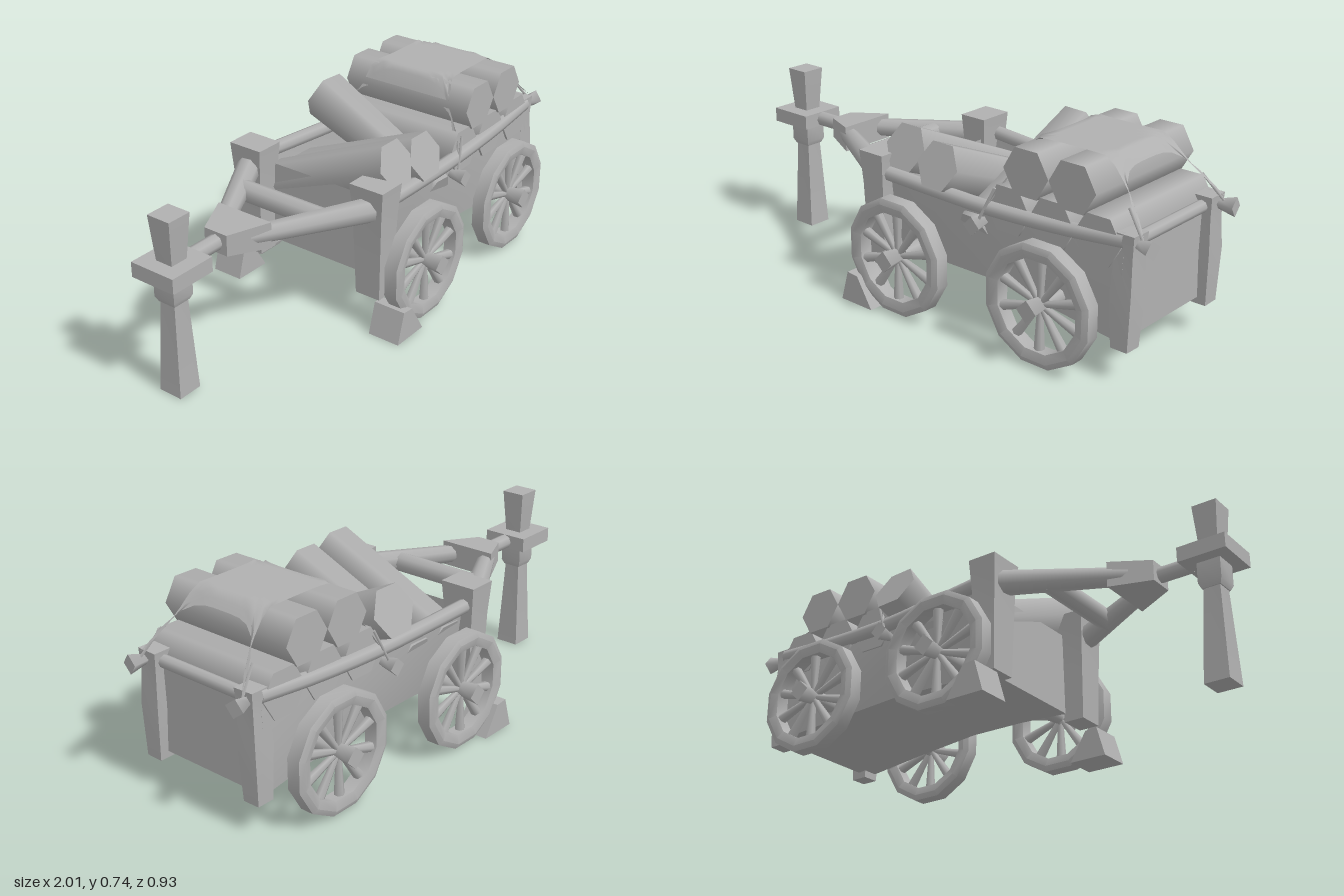
import * as THREE from 'three';
import { toCreasedNormals } from 'three/addons/utils/BufferGeometryUtils.js';

export function createModel() {
  const model = new THREE.Group();
  const grey = new THREE.MeshStandardMaterial({ color: 0xb0b0b0, side: THREE.DoubleSide });
  grey.name = 'plain grey';
  const V = (x, y, z) => new THREE.Vector3(x, y, z);

  const add = (name, geometry, parent = model) => {
    const mesh = new THREE.Mesh(geometry, grey);
    mesh.name = name;
    parent.add(mesh);
    return mesh;
  };
  // Tapered round bar between two points
  const bar = (name, a, b, ra, rb, sides = 8, parent = model) => {
    const m = add(name, new THREE.CylinderGeometry(rb, ra, a.distanceTo(b), sides), parent);
    m.position.copy(a).lerp(b, 0.5);
    m.quaternion.setFromUnitVectors(V(0, 1, 0), b.clone().sub(a).normalize());
    return m;
  };
  // Square post from [half width, height] pairs, closed at both ends
  const post = (name, profile, x, z, depth = 1) => {
    const pts = profile.map(([w, y]) => new THREE.Vector2(w * Math.SQRT2, y));
    pts.unshift(new THREE.Vector2(0, profile[0][1]));
    pts.push(new THREE.Vector2(0, profile[profile.length - 1][1]));
    const g = new THREE.LatheGeometry(pts, 4, Math.PI / 4);
    g.scale(1, 1, depth);
    const m = add(name, toCreasedNormals(g, 0.5));
    m.position.set(x, 0, z);
    return m;
  };
  // Six-sided log lying along z
  const log = (name, x, y, z, length, tilt = 0, rFront = 0.097, rBack = rFront) => {
    const g = new THREE.CylinderGeometry(rFront, rBack, length, 6);
    g.rotateY(Math.PI / 6).rotateX(Math.PI / 2);
    const m = add(name, g);
    m.position.set(x, y, z);
    m.rotation.x = tilt;
    return m;
  };

  // Hitching post with collars
  post('hitchPost', [[0.048, 0], [0.032, 0.36], [0.034, 0.5], [0.036, 0.52], [0.048, 0.68]], -0.908, 0);
  post('hitchCollar', [[0.093, 0.453], [0.093, 0.51]], -0.907, 0);
  post('lowerCollar', [[0.036, 0.355], [0.045, 0.375], [0.045, 0.453]], -0.908, 0);

  // Draw pole and wedge-shaped yoke
  bar('drawPole', V(-0.83, 0.48, 0), V(-0.67, 0.48, 0), 0.03, 0.03);
  const yoke = new THREE.BoxGeometry(0.15, 0.1, 0.2);
  const yp = yoke.attributes.position;
  for (let i = 0; i < yp.count; i++) {
    const left = yp.getX(i) < 0;
    yp.setZ(i, Math.sign(yp.getZ(i)) * (left ? 0.05 : 0.12));
    if (left) yp.setY(i, yp.getY(i) * 0.8);
  }
  yoke.computeVertexNormals();
  add('yoke', yoke).position.set(-0.622, 0.48, 0);
  bar('shaftCrossbar', V(-0.35, 0.48, -0.21), V(-0.35, 0.48, 0.21), 0.04, 0.04);

  // Wheel ring profile, spun around the axle
  const ring = [[0.172, -0.026], [0.205, -0.036], [0.226, -0.026], [0.226, 0.026],
    [0.205, 0.036], [0.172, 0.026], [0.172, -0.026]].map(p => new THREE.Vector2(...p));
  const wheel = (name, x, z, side) => {
    const g = new THREE.Group();
    g.name = name;
    g.position.set(x, 0.228, z * side);
    if (side < 0) g.rotation.y = Math.PI;
    model.add(g);
    const tyre = new THREE.LatheGeometry(ring, 12, Math.PI / 12);
    add('rim', toCreasedNormals(tyre.rotateX(Math.PI / 2), 0.75), g);
    for (let i = 0; i < 10; i++) {
      const a = i / 10 * Math.PI * 2 + Math.PI / 2;
      const p = r => V(Math.cos(a) * r, Math.sin(a) * r, 0);
      bar('spoke', p(0.02), p(0.18), 0.011, 0.02, 6, g);
    }
    bar('hub', V(0, 0, -0.035), V(0, 0, 0.077), 0.026, 0.042, 4, g);
    bar('axle', V(0, 0, -0.14), V(0, 0, -0.02), 0.034, 0.028, 8, g);
  };

  // Parts mirrored on both sides
  for (const s of [1, -1]) {
    bar('shaft', V(-0.6, 0.48, 0.06 * s), V(-0.17, 0.485, 0.3 * s), 0.034, 0.048);
    post('frontPost', [[0.042, 0.13], [0.046, 0.3], [0.05, 0.45], [0.058, 0.575]], -0.167, 0.28 * s, 1.25);
    const rear = post('rearPost', [[0.034, 0.115], [0.042, 0.32], [0.036, 0.45], [0.041, 0.53]], 0.9, 0.24 * s);
    rear.rotation.x = -0.02 * s;

    wheel('frontWheel', 0, 0.388, s);
    wheel('rearWheel', 0.635, 0.355, s);

    // Rail along the top of the side wall
    const path = new THREE.CatmullRomCurve3([V(-0.17, 0.5, 0.31 * s), V(0.1, 0.485, 0.295 * s),
      V(0.35, 0.475, 0.28 * s), V(0.65, 0.485, 0.268 * s), V(0.9, 0.505, 0.255 * s)]);
    add('sideRail', new THREE.TubeGeometry(path, 10, 0.028, 8));

    // Wheel chock
    const wedge = new THREE.Shape([new THREE.Vector2(-0.245, 0), new THREE.Vector2(-0.09, 0),
      new THREE.Vector2(-0.16, 0.115), new THREE.Vector2(-0.21, 0.12)]);
    const chock = add('wheelChock', new THREE.ExtrudeGeometry(wedge, { depth: 0.13, bevelEnabled: false }));
    chock.position.z = s > 0 ? 0.315 : -0.445;

    // Pegs and ties that hold the cover
    bar('sidePeg', V(0.32, 0.42, 0.28 * s), V(0.32, 0.42, 0.35 * s), 0.018, 0.036, 4);
    bar('rearPeg', V(0.93, 0.495, 0.24 * s), V(1, 0.495, 0.25 * s), 0.016, 0.036, 4);
    bar('sideTie', V(0.32, 0.43, 0.315 * s), V(0.375, 0.56, 0.29 * s), 0.006, 0.006, 4);
    bar('rearTie', V(0.965, 0.5, 0.245 * s), V(0.88, 0.6, 0.215 * s), 0.006, 0.006, 4);
  }
  bar('rearRail', V(0.9, 0.49, -0.25), V(0.9, 0.49, 0.25), 0.024, 0.024);

  // Open cart body: [x, floor y, floor half width, top y, top half width]
  const stations = [[-0.13, 0.165, 0.23, 0.49, 0.3], [0.08, 0.18, 0.235, 0.48, 0.285], [0.32, 0.185, 0.24, 0.475, 0.27],
    [0.6, 0.165, 0.25, 0.48, 0.265], [0.9, 0.14, 0.265, 0.5, 0.265]];
  const section = ([, fy, fw, ty, tw]) => [[tw, ty], [(tw + fw) / 2 + 0.01, (ty + fy) / 2],
    [fw, fy], [-fw, fy], [-(tw + fw) / 2 - 0.01, (ty + fy) / 2], [-tw, ty]];
  const verts = [], faces = [];
  stations.forEach((st, i) => section(st).forEach(([z, y], j) => {
    verts.push(st[0], y, z);
    if (i && j) {
      const d = i * 6 + j, c = d - 1, b = d - 6, a = d - 7;
      faces.push(a, b, c, b, d, c);
    }
  }));
  const hull = new THREE.BufferGeometry();
  hull.setAttribute('position', new THREE.Float32BufferAttribute(verts, 3));
  hull.setIndex(faces);
  add('cartBody', toCreasedNormals(hull, 0.8));
  for (const [name, st] of [['frontPanel', stations[0]], ['rearPanel', stations[4]]]) {
    const shape = new THREE.Shape(section(st).map(([z, y]) => new THREE.Vector2(z, y)));
    const panel = add(name, new THREE.ShapeGeometry(shape));
    panel.rotation.y = Math.PI / 2;
    panel.position.x = st[0];
  }

  // Loose tilted logs at the front
  log('tiltedLog', -0.052, 0.49, 0.01, 0.6, -0.4, 0.095, 0.085);
  log('tiltedLog', 0.115, 0.468, 0.02, 0.6, -0.38, 0.095, 0.085);
  log('tiltedLog', 0.272, 0.49, -0.02, 0.62, 0.4, 0.068, 0.1).rotation.y = -0.05;

  // Stacked logs at the rear
  for (const x of [0.42, 0.61, 0.8]) log('lowerLog', x, 0.485, 0, 0.55);
  for (const x of [0.505, 0.7]) log('upperLog', x, 0.643, 0, 0.57);

  // Cover sheet pulled out to four corners
  const sheet = new THREE.PlaneGeometry(2, 2, 16, 12);
  const sp = sheet.attributes.position;
  for (let i = 0; i < sp.count; i++) {
    const u = sp.getX(i), v = sp.getY(i), pull = Math.abs(v) ** 4;
    const x = u < 0 ? 0.61 + u * (0.19 + 0.08 * pull) : 0.61 + u * (0.19 + 0.16 * pull);
    const z = v * (0.165 + (u < 0 ? 0.145 : 0.08) * Math.abs(u) ** 4);
    let y = 0.735;
    if (x < 0.45) y -= (0.45 - x) * 2.4;
    if (x > 0.76) y -= (x - 0.76) * 1.05;
    sp.setXYZ(i, x, y, -z);
  }
  sheet.computeVertexNormals();
  add('coverSheet', sheet);

  return model;
}
